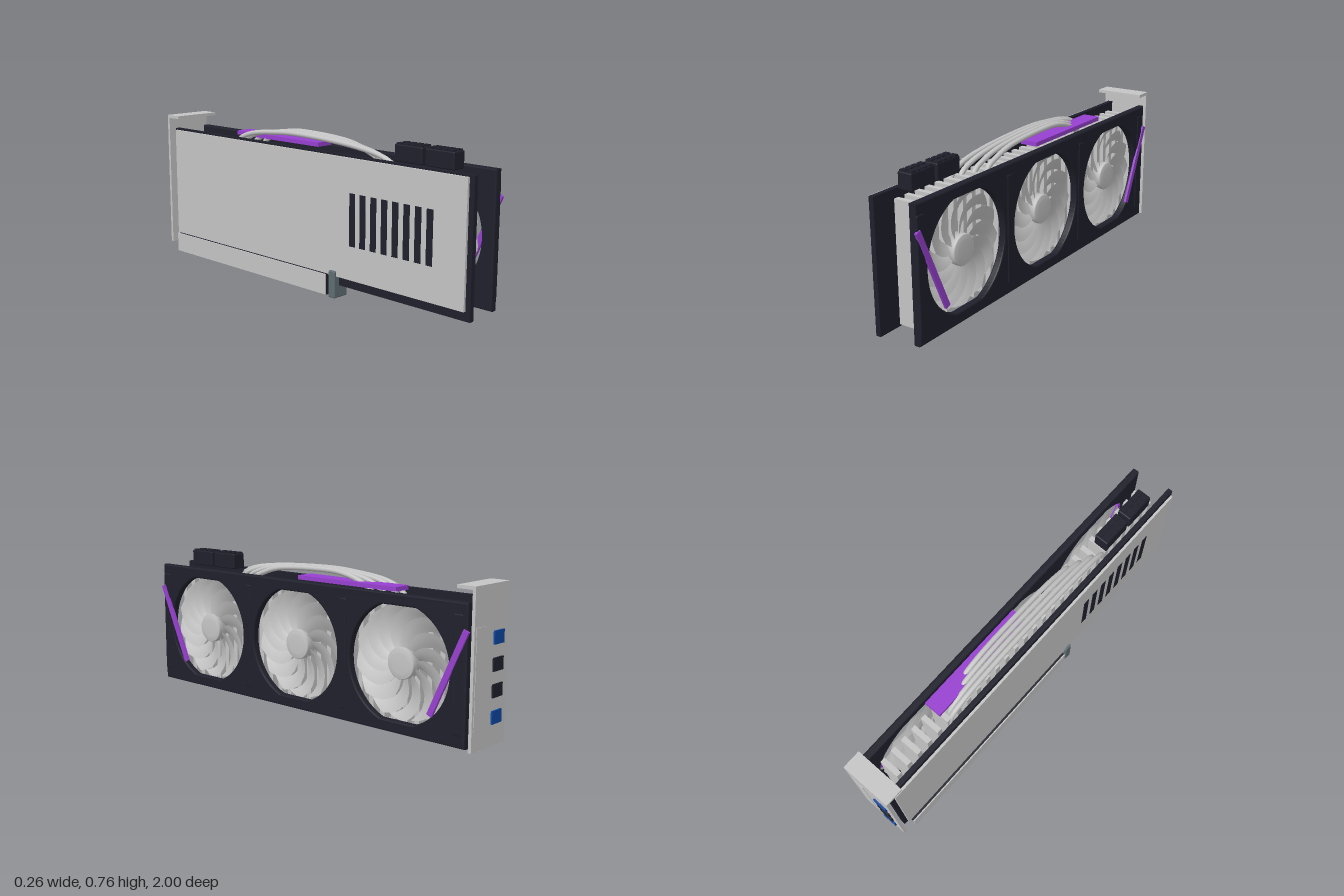
import * as THREE from 'three';
import { RoundedBoxGeometry } from 'three/addons/geometries/RoundedBoxGeometry.js';

const mat = (name, color, side = THREE.FrontSide) => {
  const m = new THREE.MeshStandardMaterial({ color, side });
  m.name = name;
  return m;
};

export function createModel() {
  const silver = mat('silver', 0xc4c4c4, THREE.DoubleSide);
  const black = mat('black', 0x20202c);
  const purple = mat('purple', 0x9640cf);
  const blue = mat('blue', 0x0d47a1);
  const slate = mat('slate', 0x606c72);

  const model = new THREE.Group();
  model.name = 'graphicsCard';

  const add = (name, geo, material, parent = model) => {
    const mesh = new THREE.Mesh(geo, material);
    mesh.name = name;
    parent.add(mesh);
    return mesh;
  };
  // Box given by its limits on each axis, optionally rounded
  const box = (name, material, [x0, x1], [y0, y1], [z0, z1], radius = 0, parent = model) => {
    const s = [x1 - x0, y1 - y0, z1 - z0];
    const geo = radius ? new RoundedBoxGeometry(...s, 2, radius) : new THREE.BoxGeometry(...s);
    const mesh = add(name, geo, material, parent);
    mesh.position.set((x0 + x1) / 2, (y0 + y1) / 2, (z0 + z1) / 2);
    return mesh;
  };

  // Circuit board and backplate with painted vent slots
  box('circuitBoard', black, [-0.097, -0.073], [0.06, 0.675], [-0.96, 1]);
  box('backplate', silver, [-0.115, -0.103], [0.105, 0.668], [-0.94, 0.98]);
  for (let i = 0; i < 8; i++) {
    const z = 0.353 + i * 0.063;
    box('ventSlot', black, [-0.117, -0.114], [0.265, 0.51], [z - 0.017, z + 0.017]);
  }

  // Edge connector: dark core between two metal side plates, with a latch
  box('slotCore', black, [-0.126, -0.041], [0.008, 0.108], [-0.92, 0.2]);
  box('slotSidePlate', silver, [-0.132, -0.126], [0.01, 0.108], [-0.925, 0.2]);
  box('slotSidePlate', silver, [-0.041, -0.035], [0.01, 0.108], [-0.925, 0.2]);
  box('slotLatch', slate, [-0.127, -0.041], [0, 0.13], [0.215, 0.255], 0.006);

  // Heatsink fins
  for (let i = 0; i < 28; i++) {
    const z = -0.852 + i * 0.0645;
    box('heatsinkFin', silver, [-0.05, 0.05], [0.086, 0.645], [z - 0.013, z + 0.013]);
  }

  // Heat pipes arching over the fins: x, back z, front z, back end y
  const pipes = [[-0.045, -0.5, 0.53, 0.28], [-0.02, -0.48, 0.49, 0.6],
    [0.006, -0.43, 0.43, 0.6], [0.032, -0.39, 0.37, 0.6]];
  for (const [x, zb, zf, yEnd] of pipes) {
    const v = (y, z) => new THREE.Vector3(x, y, z);
    const curve = new THREE.CatmullRomCurve3([
      v(yEnd, zb - 0.02), v(0.64, zb - 0.01), v(0.69, zb + 0.07), v(0.722, -0.2), v(0.727, -0.05),
      v(0.71, zf * 0.55), v(0.683, zf - 0.07), v(0.65, zf), v(0.605, zf + 0.015),
    ]);
    add('heatPipe', new THREE.TubeGeometry(curve, 48, 0.0125, 10), silver);
  }

  // Power sockets with ridged tops
  for (const z of [0.622, 0.79]) {
    box('powerSocket', black, [-0.059, 0.013], [0.673, 0.75], [z - 0.077, z + 0.077], 0.006);
    for (const x of [-0.042, -0.004]) {
      for (let i = 0; i < 4; i++) {
        const c = z - 0.054 + i * 0.036;
        box('socketPin', black, [x - 0.014, x + 0.014], [0.745, 0.756], [c - 0.013, c + 0.013]);
      }
    }
  }

  // Accent plate lying along the top
  box('topAccent', purple, [-0.015, 0.072], [0.674, 0.694], [-0.55, 0.035]);

  // Fan side, built facing local +z then turned to face +x
  const face = new THREE.Group();
  face.name = 'fanSide';
  face.rotation.y = Math.PI / 2;
  model.add(face);
  const fanX = [-0.64, -0.02, 0.6], fanY = 0.367;

  // Shroud with three round openings cut flat at top and bottom
  const outline = new THREE.Shape();
  outline.moveTo(-0.977, 0.057);
  outline.lineTo(0.957, 0.057);
  outline.lineTo(0.957, 0.675);
  outline.lineTo(-0.977, 0.675);
  outline.closePath();
  for (const x of fanX) {
    const pts = [];
    for (let i = 0; i < 72; i++) {
      const a = -i / 72 * Math.PI * 2;
      const y = THREE.MathUtils.clamp(0.272 * Math.sin(a), -0.256, 0.256);
      pts.push(new THREE.Vector2(x + 0.272 * Math.cos(a), fanY + y));
    }
    outline.holes.push(new THREE.Path(pts));
  }
  add('shroud', new THREE.ExtrudeGeometry(outline, {
    depth: 0.022, bevelThickness: 0.007, bevelSize: 0.007, bevelOffset: -0.007, bevelSegments: 2,
  }), black, face).position.z = 0.093;

  // Raised bars between the openings and at both ends
  for (const [x, w] of [[-0.952, 0.046], [-0.33, 0.04], [0.287, 0.04], [0.91, 0.046]]) {
    box('shroudBar', black, [x - w / 2, x + w / 2], [0.112, 0.625], [0.105, 0.126], 0.005, face);
  }

  // Slanted accent strips, mirrored
  for (const s of [-1, 1]) {
    const strip = add('accentStrip', new THREE.BoxGeometry(0.028, 0.425, 0.012), purple, face);
    strip.position.set(-0.01 + s * 0.877, 0.367, 0.125);
    strip.rotation.z = -s * 0.425;
  }

  // One swept, pitched fan blade, bent from a flat grid
  const blade = new THREE.PlaneGeometry(1, 1, 4, 8);
  const pos = blade.attributes.position;
  for (let i = 0; i < pos.count; i++) {
    const t = pos.getX(i), s = pos.getY(i) + 0.5;
    const r = 0.065 + 0.197 * s;
    const a = -0.75 * s * s + t * (0.56 - 0.1 * s);
    pos.setXYZ(i, r * Math.cos(a), r * Math.sin(a), 0.071 + t * (0.028 + 0.006 * s) - t * t * 0.012);
  }
  blade.computeVertexNormals();

  // Fans
  const hubProfile = [[0, 0.05], [0.072, 0.05], [0.072, 0.095], [0.068, 0.1], [0.05, 0.1],
    [0.048, 0.103], [0, 0.103]].map(([r, y]) => new THREE.Vector2(r, y));
  const hub = new THREE.LatheGeometry(hubProfile, 40);
  hub.rotateX(Math.PI / 2);
  for (const x of fanX) {
    const fan = new THREE.Group();
    fan.name = 'fan';
    fan.position.set(x, fanY, 0);
    face.add(fan);
    add('fanHub', hub, silver, fan);
    for (let i = 0; i < 13; i++) {
      add('fanBlade', blade, silver, fan).rotation.z = i / 13 * Math.PI * 2;
    }
  }

  // Mounting bracket with bent top flange and raised panel
  box('bracket', silver, [-0.126, 0.125], [0.05, 0.745], [-0.992, -0.977]);
  box('bracketFlange', silver, [-0.126, 0.125], [0.73, 0.745], [-0.977, -0.9]);
  box('bracketPanel', silver, [0.045, 0.112], [0.14, 0.575], [-0.994, -0.99]);

  // Display ports
  [0.175, 0.29, 0.403, 0.518].forEach((y, i) => {
    box('displayPort', i % 3 ? black : blue, [-0.088, -0.016], [y - 0.029, y + 0.029], [-1, -0.991]);
  });

  return model;
}
